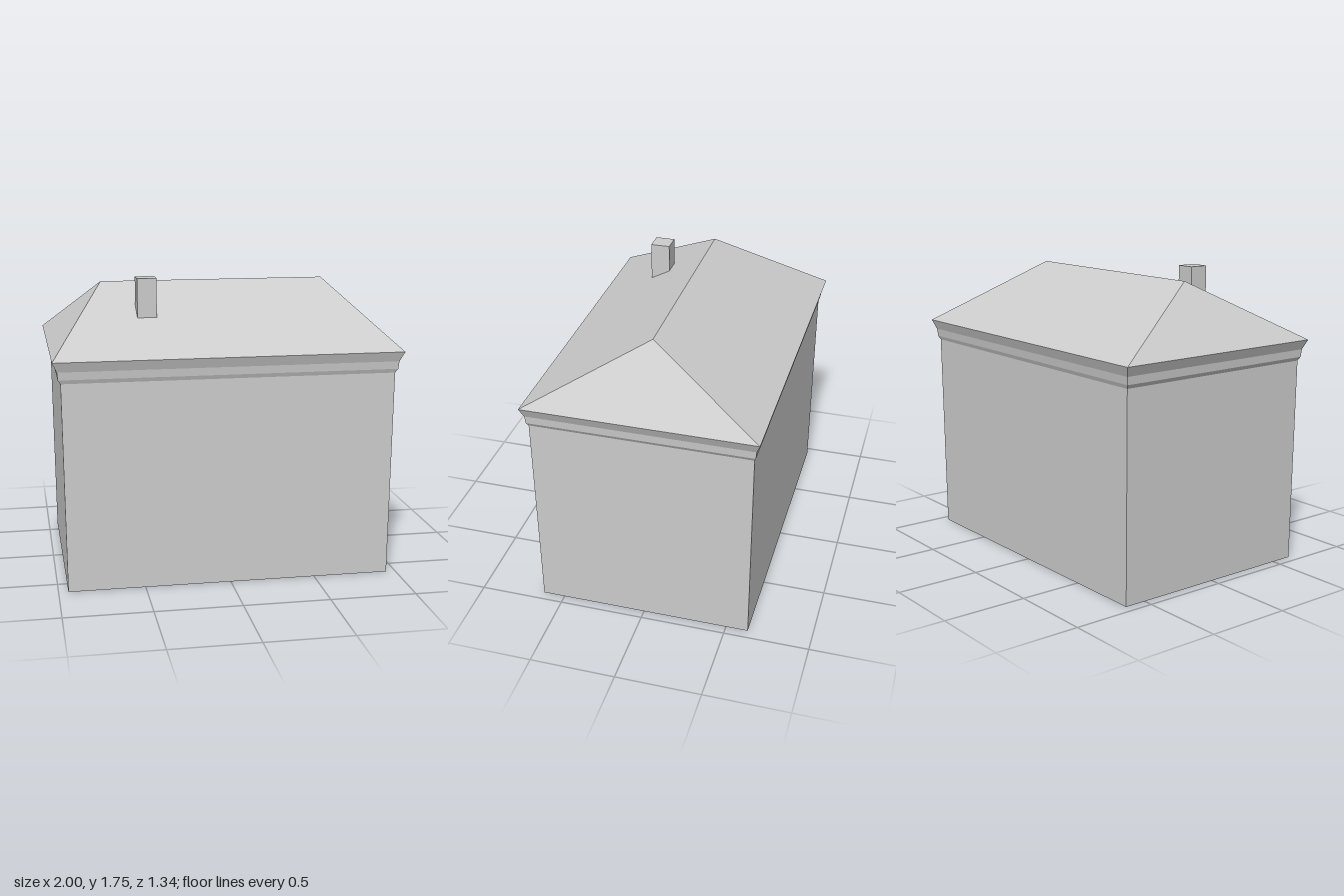
import * as THREE from 'three';

const plaster = new THREE.MeshStandardMaterial({ color: 0xcccccc, side: THREE.DoubleSide });
plaster.name = 'light grey';

// Flat-shaded skin between stacked rectangular rings [halfX, y, halfZ]
function loftRings(rings) {
  const pos = [];
  const corners = ([x, y, z]) => [[-x, y, z], [x, y, z], [x, y, -z], [-x, y, -z]];
  for (let i = 0; i < rings.length - 1; i++) {
    const lo = corners(rings[i]);
    const hi = corners(rings[i + 1]);
    for (let k = 0; k < 4; k++) {
      const n = (k + 1) % 4;
      pos.push(...lo[k], ...lo[n], ...hi[n]);
      // Skip the collapsed triangle where the upper ring closes to a ridge
      if (hi[k].some((v, j) => Math.abs(v - hi[n][j]) > 1e-6)) pos.push(...lo[k], ...hi[n], ...hi[k]);
    }
  }
  const geo = new THREE.BufferGeometry();
  geo.setAttribute('position', new THREE.Float32BufferAttribute(pos, 3));
  geo.computeVertexNormals();
  return geo;
}

export function createModel() {
  const house = new THREE.Group();
  house.name = 'house';

  const add = (name, geometry) => {
    const mesh = new THREE.Mesh(geometry, plaster);
    mesh.name = name;
    house.add(mesh);
    return mesh;
  };

  // Slightly flared walls, open underneath
  add('walls', loftRings([[0.944, 0, 0.63], [0.955, 1.212, 0.636]]));

  // Stepped cornice under the eaves
  add('cornice', loftRings([
    [0.955, 1.212, 0.636],
    [0.97, 1.235, 0.645],
    [0.974, 1.28, 0.65],
    [1, 1.337, 0.671],
  ]));

  // Hipped roof rising to a ridge along x
  add('roof', loftRings([[1, 1.337, 0.671], [0.673, 1.696, 0]]));

  // Chimney on the front slope, sunk into the roof
  const chimney = add('chimney', new THREE.BoxGeometry(0.112, 0.235, 0.114));
  chimney.position.set(-0.436, 1.628, 0.271);

  return house;
}
